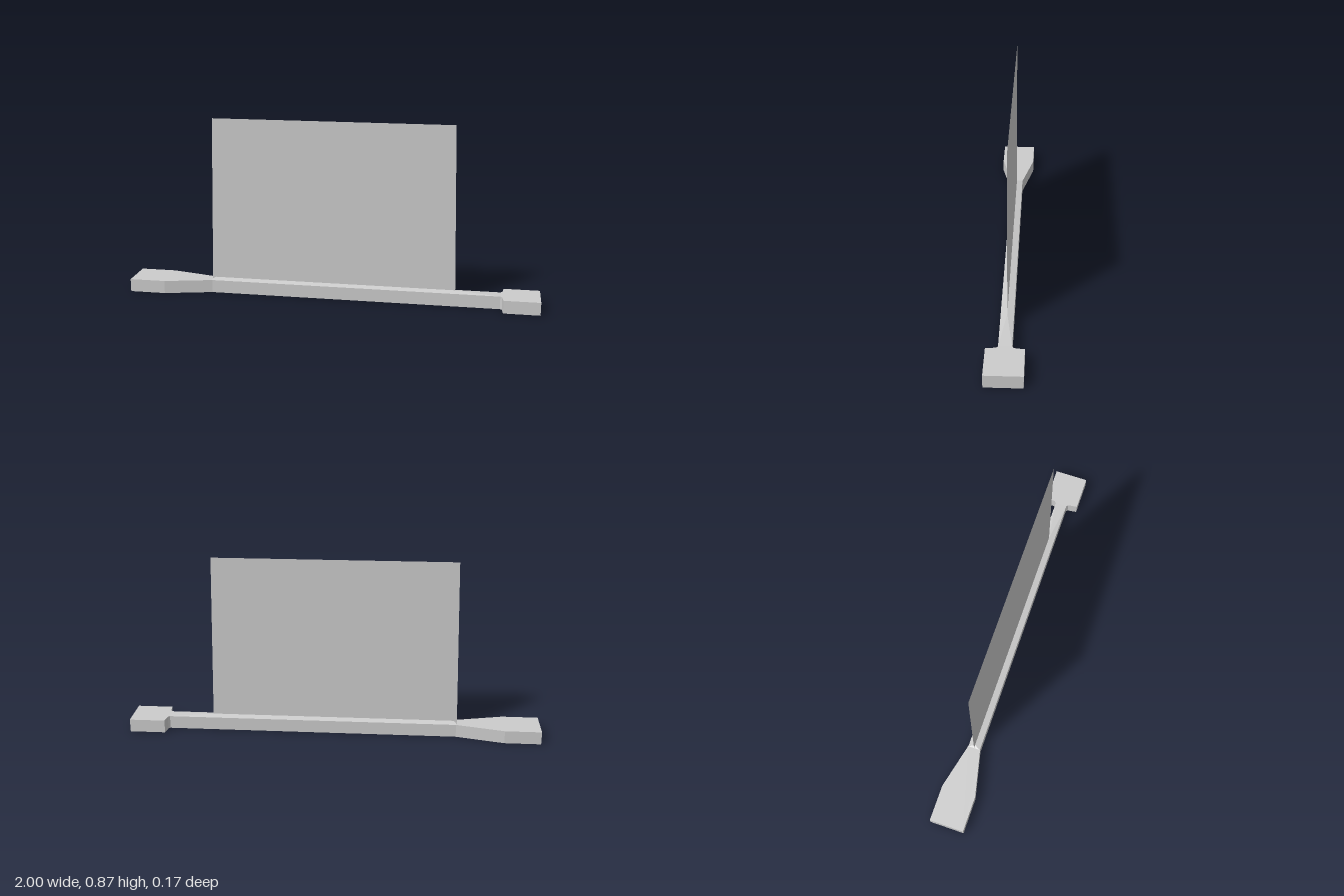
import * as THREE from 'three';

const BASE_H = 0.063, RIDGE_H = 0.071, HALF = 0.03, TOP = 0.868;

function polygonMesh(name, points, triangles, material) {
  const geometry = new THREE.BufferGeometry();
  geometry.setAttribute('position', new THREE.Float32BufferAttribute(points.flat(), 3));
  geometry.setIndex(triangles.flat());
  const flat = geometry.toNonIndexed();
  flat.computeVertexNormals();
  const mesh = new THREE.Mesh(flat, material);
  mesh.name = name;
  return mesh;
}

export function createModel() {
  const group = new THREE.Group();
  group.name = 'bladeOnBar';
  const grey = new THREE.MeshStandardMaterial({ color: 0xcccccc, flatShading: true });
  const thin = new THREE.MeshStandardMaterial({ color: 0xcccccc, flatShading: true, side: THREE.DoubleSide });

  // Bar: half outline (x, half width) mirrored across the long axis
  const half = [
    [-1, 0.085], [-0.825, 0.085], [-0.595, HALF],
    [0.813, HALF], [0.822, 0.038], [0.828, 0.085], [1, 0.085],
  ];
  const outline = [...half, ...half.map(([x, z]) => [x, -z]).reverse()];
  const barGeometry = new THREE.ExtrudeGeometry(
    new THREE.Shape(outline.map(([x, z]) => new THREE.Vector2(x, z))),
    { depth: BASE_H, bevelEnabled: false },
  );
  barGeometry.rotateX(-Math.PI / 2);
  const bar = new THREE.Mesh(barGeometry, grey);
  bar.name = 'bar';
  group.add(bar);

  // Low roof-shaped ridge, running out gently on the +x side
  group.add(polygonMesh('ridge', [
    [-0.6, BASE_H, HALF], [0.813, BASE_H, HALF],
    [0.813, BASE_H, -HALF], [-0.6, BASE_H, -HALF],
    [-0.585, RIDGE_H, 0], [0.6, RIDGE_H, 0],
  ], [[0, 1, 5], [0, 5, 4], [2, 3, 4], [2, 4, 5], [1, 2, 5], [3, 0, 4]], grey));

  // Upright blade: a thin sheet, slightly narrower at the top
  group.add(polygonMesh('blade', [
    [-0.6, BASE_H, 0], [0.6, BASE_H, 0], [0.58, TOP, 0], [-0.58, TOP, 0],
  ], [[0, 1, 2], [0, 2, 3]], thin));

  return group;
}
